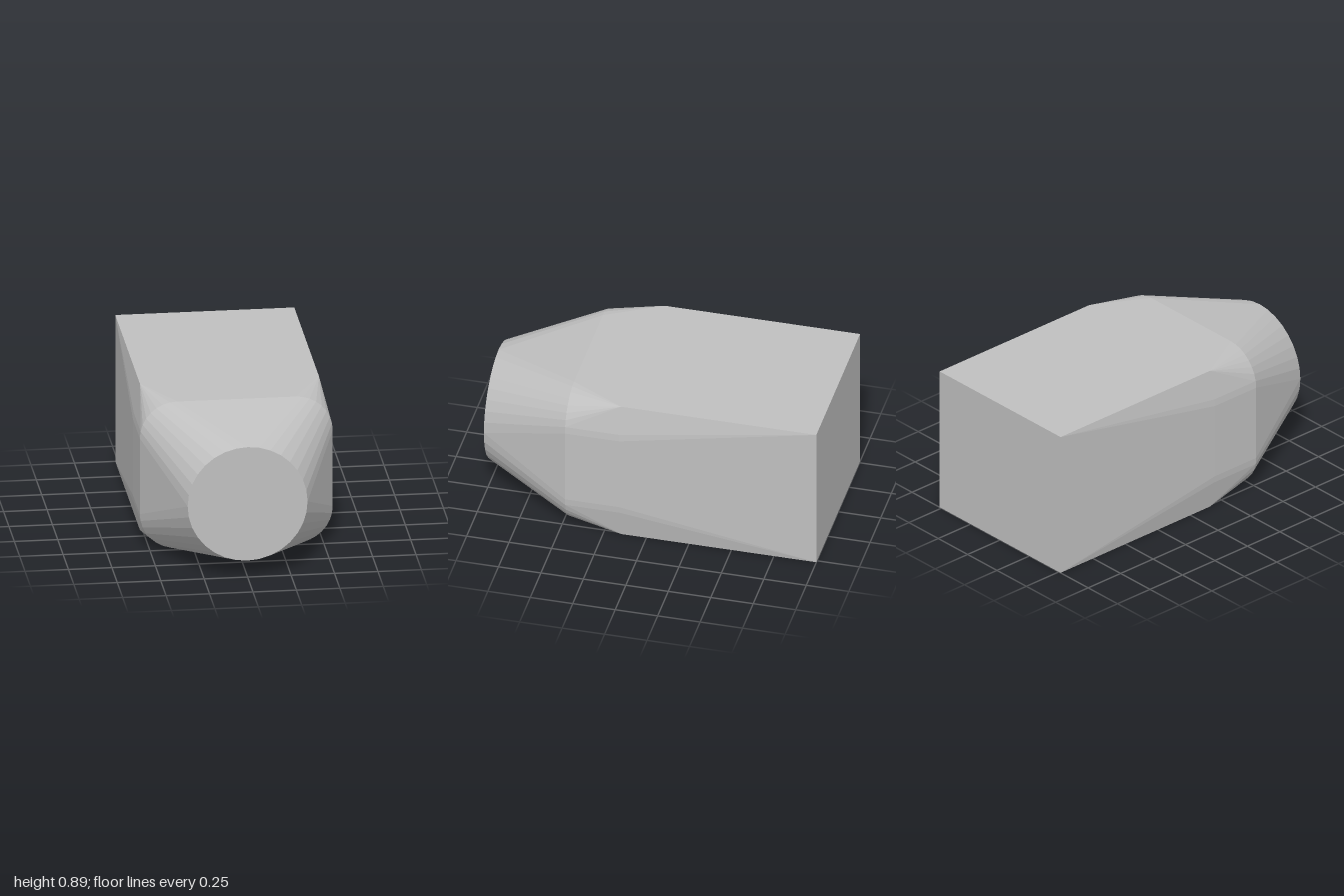
import * as THREE from 'three';
import { ConvexGeometry } from 'three/addons/geometries/ConvexGeometry.js';

const CY = 0.445;        // centre height
const HALF_H = 0.445;    // half height of the body
const BACK_W = 0.515;    // half width of the square rear block
const MID_W = 0.555;     // half width of the rounded collar
const CORNER = 0.215;    // corner radius of the collar
const NOSE_R = 0.345;    // radius of the round front
const SIDES = 32;

// Rounded rectangle cross-section at depth z; equal radius and half sizes give a circle
function section(halfW, halfH, radius, z) {
  const points = [];
  for (const sx of [-1, 1]) {
    for (const sy of [-1, 1]) {
      for (let i = 0; i <= SIDES / 4; i++) {
        const a = (i / SIDES) * Math.PI * 2;
        points.push(new THREE.Vector3(
          sx * (halfW - radius + radius * Math.cos(a)),
          CY + sy * (halfH - radius + radius * Math.sin(a)),
          z
        ));
      }
    }
  }
  return points;
}

// Square-cornered cross-section at depth z
function rectangle(halfW, halfH, z) {
  return [[-1, -1], [1, -1], [1, 1], [-1, 1]].map(
    ([sx, sy]) => new THREE.Vector3(sx * halfW, CY + sy * halfH, z)
  );
}

export function createModel() {
  const group = new THREE.Group();
  group.name = 'squareToRoundBlock';

  const grey = new THREE.MeshStandardMaterial({ color: 0xc0c0c0 });
  grey.name = 'grey';

  // Faceted skin over the rear block, the rounded collar and the round nose
  const body = new THREE.Mesh(new ConvexGeometry([
    ...rectangle(BACK_W, HALF_H, -1),
    ...rectangle(BACK_W, HALF_H, 0.15),
    ...section(MID_W, HALF_H, CORNER, 0.15),
    ...section(MID_W, HALF_H, CORNER, 0.47),
    ...section(NOSE_R, NOSE_R, NOSE_R, 1),
  ]), grey);
  body.name = 'body';
  group.add(body);

  return group;
}
